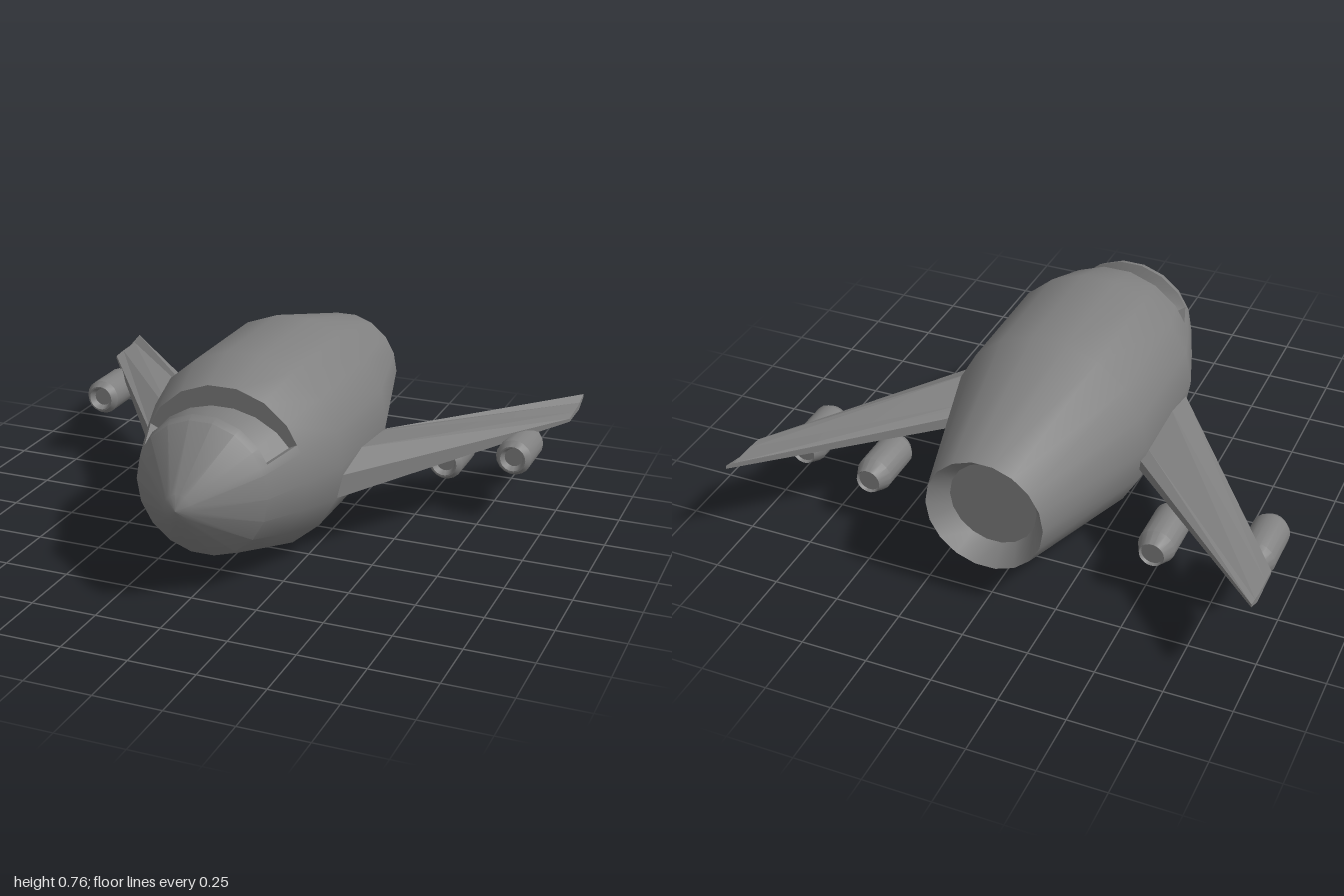
import * as THREE from 'three';
import { mergeGeometries, toCreasedNormals } from 'three/addons/utils/BufferGeometryUtils.js';

const STEP = Math.PI / 9; // 18-sided sections with a flat on top
const AXIS_Y = 0.38;
const CUT = 1.117; // half angle of the windscreen recess

const material = new THREE.MeshStandardMaterial({ color: 0x808080 });
const doubleSided = new THREE.MeshStandardMaterial({ color: 0x808080, side: THREE.DoubleSide });

// Triangles between neighbouring rows of points, skipping collapsed ones
function skin(rows) {
  const out = [];
  const tri = (a, b, c) => {
    if (a.distanceTo(b) < 1e-6 || b.distanceTo(c) < 1e-6 || c.distanceTo(a) < 1e-6) return;
    for (const p of [a, b, c]) out.push(p.x, p.y, p.z);
  };
  for (let i = 0; i < rows.length - 1; i++) {
    for (let j = 0; j < rows[i].length - 1; j++) {
      const a = rows[i][j], d = rows[i][j + 1], b = rows[i + 1][j], c = rows[i + 1][j + 1];
      tri(a, d, c);
      tri(a, c, b);
    }
  }
  const geometry = new THREE.BufferGeometry();
  geometry.setAttribute('position', new THREE.Float32BufferAttribute(out, 3));
  return geometry;
}

// Point on an 18-sided section: r reaches the middle of a flat,
// drop sinks the surface, most at the top and less at the sides
function polar([z, r, drop = 0], angle) {
  const off = angle - Math.round(angle / STEP) * STEP;
  const radius = r / Math.cos(off) - drop * Math.cos(angle);
  return new THREE.Vector3(radius * Math.sin(angle), radius * Math.cos(angle), z);
}

// Sweep a profile, listed front to back, through the given angles
const sweep = (profile, angles) => skin(profile.map((p) => angles.map((a) => polar(p, a))));

function anglesBetween(start, end) {
  const list = [start];
  for (let k = -20; k < 20; k++) {
    const a = (k + 0.5) * STEP;
    if (a > start + 0.01 && a < end - 0.01) list.push(a);
  }
  return [...list, end];
}
const fullCircle = anglesBetween(STEP / 2, STEP / 2 + Math.PI * 2);

function add(parent, name, geometry, mat = material, crease = 0.5) {
  const mesh = new THREE.Mesh(toCreasedNormals(geometry, crease), mat);
  mesh.name = name;
  parent.add(mesh);
  return mesh;
}

// Fuselage: nose, windscreen recess, barrel and hollow tail
function makeFuselage() {
  const group = new THREE.Group();
  group.name = 'fuselage';
  const nose = [[0.868, 0], [0.845, 0.052], [0.65, 0.25]];
  const lipFront = [0.617, 0.262], lipBack = [0.465, 0.317];
  const floorFront = [0.595, 0.265, 0.065], floorBack = [0.465, 0.317, 0.077];
  const lower = sweep([...nose, lipBack], anglesBetween(CUT, Math.PI * 2 - CUT));
  const upper = sweep([...nose, lipFront, floorFront, floorBack, lipBack], anglesBetween(-CUT, CUT));
  const rear = sweep(
    [lipBack, [0.27, 0.38], [-0.21, 0.38], [-0.8, 0.222], [-0.72, 0.165], [-0.72, 0]],
    fullCircle
  );
  add(group, 'fuselageShell', mergeGeometries([lower, upper, rear]));

  // Side walls closing the recess
  for (const angle of [-CUT, CUT]) {
    const wall = skin([
      [polar(lipFront, angle), polar(lipBack, angle)],
      [polar(floorFront, angle), polar(floorBack, angle)],
    ]);
    add(group, 'windscreenSideWall', wall, doubleSided);
  }
  group.position.y = AXIS_Y;
  return group;
}

// Swept wing: root and cambered tip sections of [z, y], joined and capped
function makeWing(side) {
  const root = [
    [0.26, 0.25], [0.26, 0.335], [0.09, 0.383], [-0.16, 0.36], [-0.23, 0.345], [-0.23, 0.3], [-0.1, 0.28],
  ];
  const tip = [
    [-0.645, 0.322], [-0.645, 0.335], [-0.71, 0.34], [-0.82, 0.343], [-0.868, 0.363], [-0.868, 0.35], [-0.8, 0.32],
  ];
  const rows = [root, tip].map((section, i) => {
    const pts = section.map(([z, y]) => new THREE.Vector3(side * (i ? 1 : 0.365), y, z));
    return [...pts, pts[0]];
  });
  const centre = (row) => {
    const c = new THREE.Vector3();
    row.slice(0, -1).forEach((p) => c.add(p));
    c.divideScalar(row.length - 1);
    return row.map(() => c);
  };
  const loops = [centre(rows[0]), ...rows, centre(rows[1])];
  if (side > 0) loops.reverse();
  return skin(loops);
}

export function createModel() {
  const model = new THREE.Group();
  model.name = 'aircraft';
  model.add(makeFuselage());

  for (const side of [-1, 1]) {
    add(model, side > 0 ? 'leftWing' : 'rightWing', makeWing(side), material, 0.2);

    // Small hatch, nearly flush with the lower flank
    const hatch = add(model, 'hatch', new THREE.BoxGeometry(0.016, 0.062, 0.1));
    hatch.position.set(side * 0.324, 0.192, -0.135);
    hatch.rotation.z = -side * Math.PI / 6;
  }

  // Engine pods with recessed ends
  const podProfile = [
    [0.1, 0], [0.1, 0.035], [0.127, 0.046], [0.127, 0.052], [0.1, 0.069],
    [-0.075, 0.069], [-0.127, 0.047], [-0.115, 0.042], [-0.115, 0],
  ];
  const pods = [
    ['rightOuterEngine', -0.909, 0.262], ['rightInnerEngine', -0.541, 0.202],
    ['leftInnerEngine', 0.589, 0.202], ['leftOuterEngine', 0.86, 0.262],
  ];
  for (const [name, x, y] of pods) {
    add(model, name, sweep(podProfile, fullCircle)).position.set(x, y, -0.44);
  }
  return model;
}
